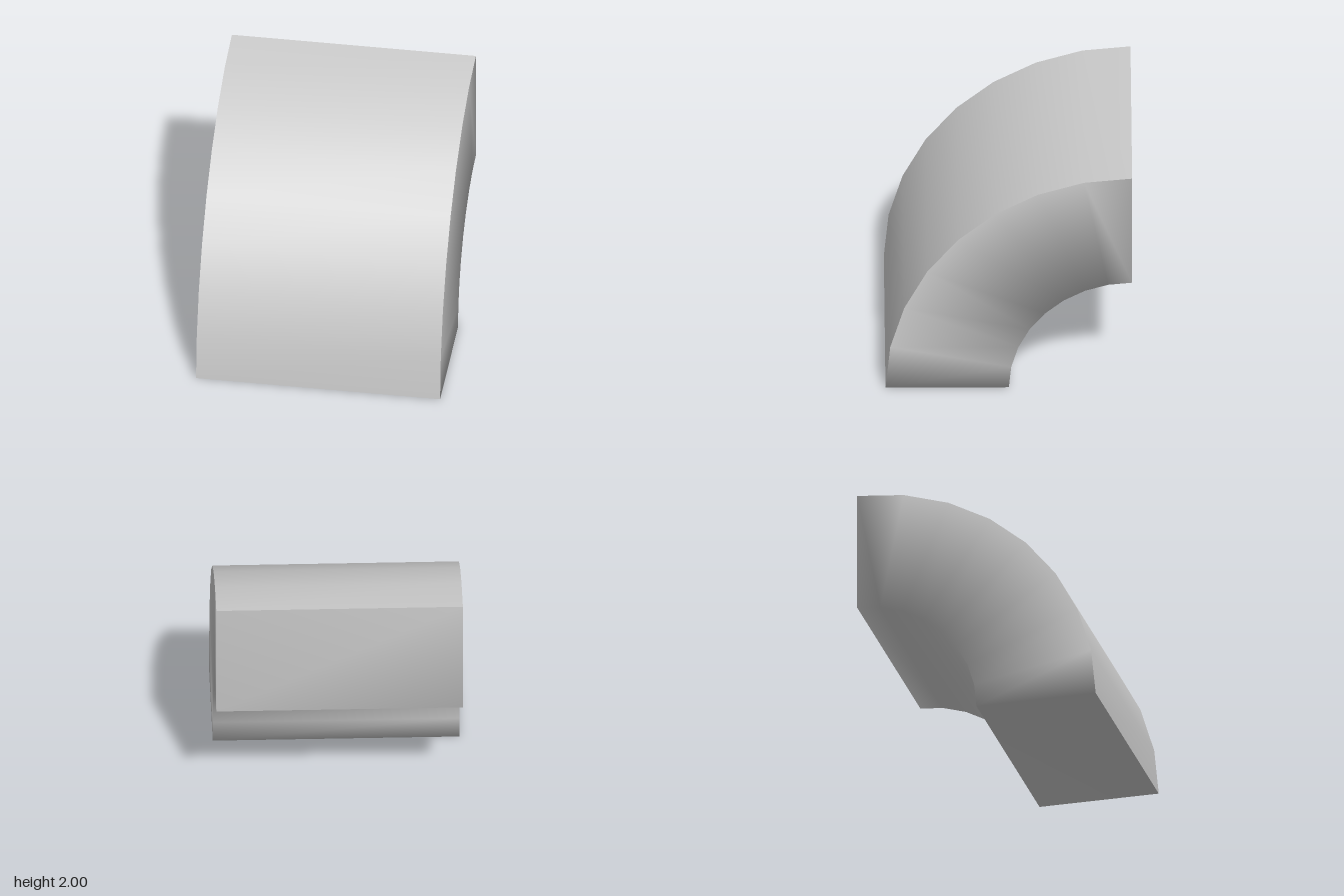
import * as THREE from 'three';

const SEGMENTS = 8, INNER = 1, OUTER = 2, HALF_WIDTH = 1;

// Cross-section corners as [x, radius], in order round the section
const SECTION = [
  [-HALF_WIDTH, OUTER], [HALF_WIDTH, OUTER],
  [HALF_WIDTH, INNER], [-HALF_WIDTH, INNER],
];

// Sweeps the chosen section edges through a quarter turn, sharing vertices for smooth shading
function sweep(edges, capped) {
  const positions = [], index = [];
  const quad = (a, b, c, d) => index.push(a, b, c, a, c, d);
  for (let i = 0; i <= SEGMENTS; i++) {
    const angle = (i / SEGMENTS) * Math.PI / 2;
    for (const [x, r] of SECTION) {
      positions.push(x, r * Math.sin(angle), r * Math.cos(angle) - 1);
    }
  }
  for (let i = 0; i < SEGMENTS; i++) {
    for (const j of edges) {
      const k = (j + 1) % 4, a = i * 4, b = a + 4;
      quad(a + j, a + k, b + k, b + j);
    }
  }
  if (capped) {
    const last = SEGMENTS * 4;
    quad(3, 2, 1, 0);
    quad(last, last + 1, last + 2, last + 3);
  }
  const geometry = new THREE.BufferGeometry();
  geometry.setAttribute('position', new THREE.Float32BufferAttribute(positions, 3));
  geometry.setIndex(index);
  geometry.computeVertexNormals();
  return geometry;
}

export function createModel() {
  const group = new THREE.Group();
  group.name = 'quarterArcBlock';
  const material = new THREE.MeshStandardMaterial({ color: 0xcccccc });

  const add = (name, geometry) => {
    const mesh = new THREE.Mesh(geometry, material);
    mesh.name = name;
    group.add(mesh);
  };

  // Outer curve has a crisp border; sides, inner curve and ends blend together
  add('outerCurve', sweep([0], false));
  add('sidesInnerCurveAndEnds', sweep([1, 2, 3], true));
  return group;
}
